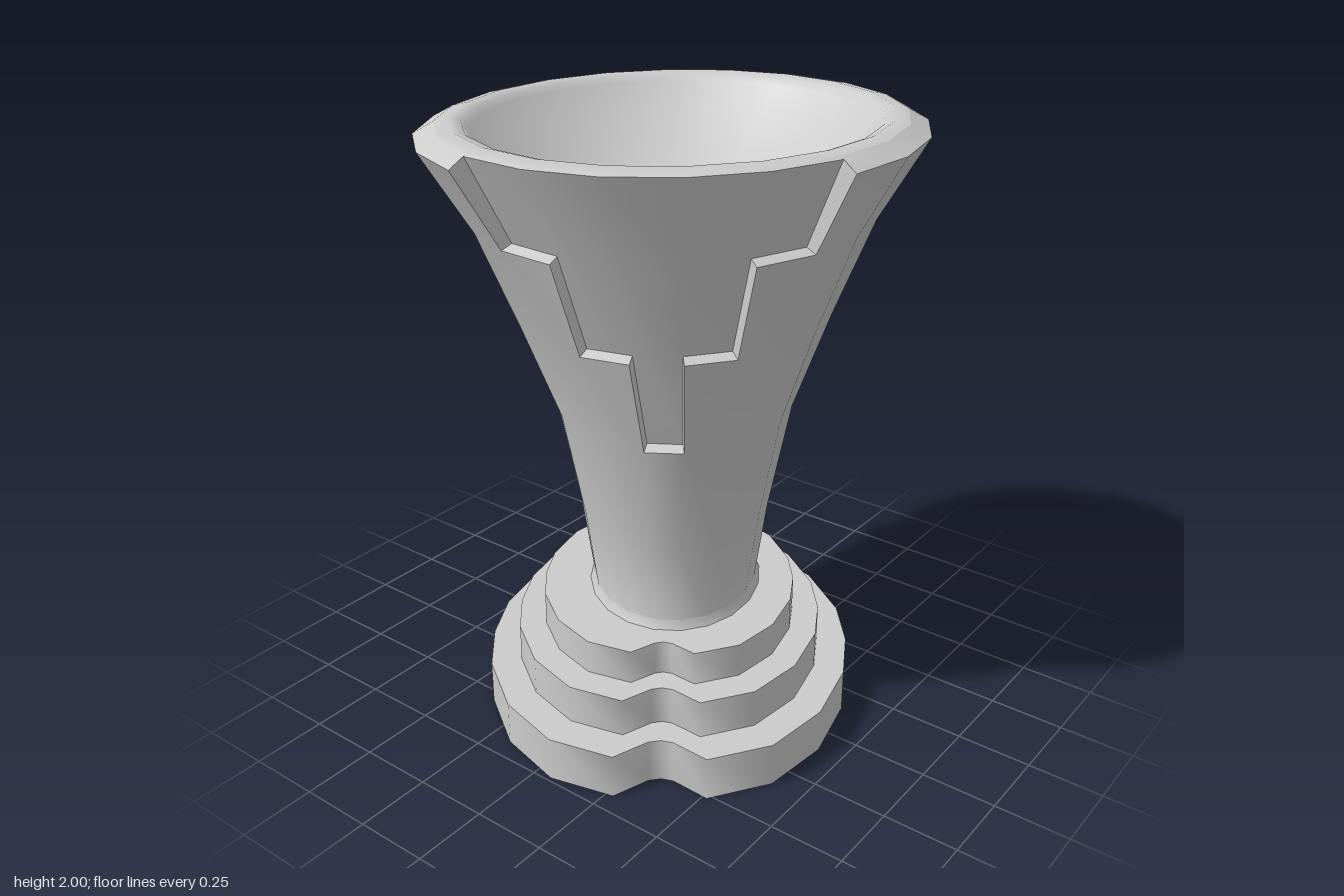
import * as THREE from 'three';
import { toCreasedNormals } from 'three/addons/utils/BufferGeometryUtils.js';

const DEG = Math.PI / 180;
const SIDES = 20;

// Collects quads (corners counter-clockwise from the visible side) into a mesh.
function meshFromQuads(name, quads, crease) {
  const positions = [];
  for (const [a, b, c, d] of quads) positions.push(...a, ...b, ...c, ...a, ...c, ...d);
  const geometry = new THREE.BufferGeometry();
  geometry.setAttribute('position', new THREE.Float32BufferAttribute(positions, 3));
  const material = new THREE.MeshStandardMaterial({ color: 0xcccccc, side: THREE.DoubleSide });
  const mesh = new THREE.Mesh(toCreasedNormals(geometry, crease), material);
  mesh.name = name;
  return mesh;
}

// Joins closed rings of equal length, listed along the profile.
function loft(rings) {
  const quads = [];
  for (let i = 0; i + 1 < rings.length; i++) {
    const n = rings[i].length;
    for (let k = 0; k < n; k++) {
      const m = (k + 1) % n;
      quads.push([rings[i][k], rings[i + 1][k], rings[i + 1][m], rings[i][m]]);
    }
  }
  return quads;
}

// Oval ring of the cup: long radius, short radius, height,
// and direction of the long axis in degrees from +z towards +x.
function ovalRing([long, short, y, turn]) {
  const sin = Math.sin(turn * DEG), cos = Math.cos(turn * DEG);
  return Array.from({ length: SIDES }, (_, k) => {
    const angle = (168 - 18 * k - turn) * DEG;
    const u = long * Math.cos(angle), v = short * Math.sin(angle);
    return [u * sin + v * cos, y, u * cos - v * sin];
  });
}

// Flared wall with two stepped recesses, each five columns wide.
// The oval's long axis swings round between neck and rim.
function createCupWall() {
  const profile = [
    [0.38, 0.295, 0.39, 34], [0.362, 0.278, 0.425, 34], [0.388, 0.316, 0.7, 34],
    [0.455, 0.387, 1.07, 33], [0.545, 0.5, 1.39, 15], [0.655, 0.612, 1.7, -5],
    [0.803, 0.735, 1.955, -20],
  ];
  const last = profile.length - 1;
  const outer = profile.map(ovalRing);
  const inner = profile.map(([a, b, y, turn], i) => {
    const depth = i === last ? 0.05 : 0.037;
    return ovalRing([a - depth, b - depth, y + (i === last ? 0.03 : 0.014), turn]);
  });

  // First recessed row of each column; columns without a recess never reach it.
  const steps = [5, 4, 3, 4, 5];
  const recessFrom = new Array(SIDES).fill(99);
  for (const start of [5, 14]) steps.forEach((row, j) => { recessFrom[start + j] = row; });

  const quads = [];
  for (let k = 0; k < SIDES; k++) {
    const m = (k + 1) % SIDES;
    const before = recessFrom[(k + SIDES - 1) % SIDES];
    for (let i = 0; i < last; i++) {
      const sunk = i >= recessFrom[k];
      const s = sunk ? inner : outer;
      quads.push([s[i][k], s[i + 1][k], s[i + 1][m], s[i][m]]);
      // ledge at the foot of a recessed column
      if (i === recessFrom[k]) quads.push([outer[i][k], inner[i][k], inner[i][m], outer[i][m]]);
      // side wall between a raised and a recessed column
      if (sunk !== i >= before) {
        const wall = [outer[i][k], outer[i + 1][k], inner[i + 1][k], inner[i][k]];
        quads.push(sunk ? wall : wall.reverse());
      }
    }
  }

  // bevel from the wall up to the rim
  const lip = ovalRing([0.74, 0.67, 1.99, -20]);
  for (let k = 0; k < SIDES; k++) {
    const m = (k + 1) % SIDES;
    const edge = recessFrom[k] <= last ? inner[last] : outer[last];
    quads.push([edge[k], lip[k], lip[m], edge[m]]);
  }
  return meshFromQuads('cupWall', quads, 0.6);
}

// Rounded rim running into a smooth, shallow bowl.
function createBowl() {
  const rings = [[0.74, 0.67, 1.99, -20], [0.69, 0.63, 2.0, -20], [0.655, 0.605, 1.99, -20]];
  for (let i = 0; i <= 8; i++) {
    const r = i === 8 ? 0.001 : 1 - i / 8;
    rings.push([0.635 * r, 0.59 * r, 1.97 - 0.3 * (1 - r * r), -20]);
  }
  return meshFromQuads('bowl', loft(rings.map(ovalRing)), 1.0);
}

// Oval base outline with a cleft at both ends of its long axis.
function baseRing(scale, y) {
  const quarter = [[0.04, 0.61], [0.147, 0.69], [0.353, 0.61], [0.51, 0.43], [0.6, 0.2]];
  const half = [
    [0, 0.6], ...quarter, [0.62, 0], ...quarter.map(([l, d]) => [l, -d]).reverse(),
  ];
  const outline = [...half, ...half.map(([l, d]) => [-l, -d])];
  const sin = Math.sin(35 * DEG), cos = Math.cos(35 * DEG);
  return outline.map(([l, d]) => [
    scale * (d * sin - l * cos), y, scale * (d * cos + l * sin) + 0.035,
  ]);
}

// Three hollow tiers, open underneath.
function createBase() {
  const tiers = [[1, 0, 0.15], [0.835, 0.15, 0.28], [0.69, 0.28, 0.395]];
  const rings = tiers.flatMap(([s, y0, y1]) => [baseRing(s, y0), baseRing(s, y1)]);
  rings.push(baseRing(0.42, 0.395));
  return meshFromQuads('tieredBase', loft(rings), 1.2);
}

export function createModel() {
  const model = new THREE.Group();
  model.name = 'trophyCup';
  model.add(createCupWall(), createBowl(), createBase());
  return model;
}
